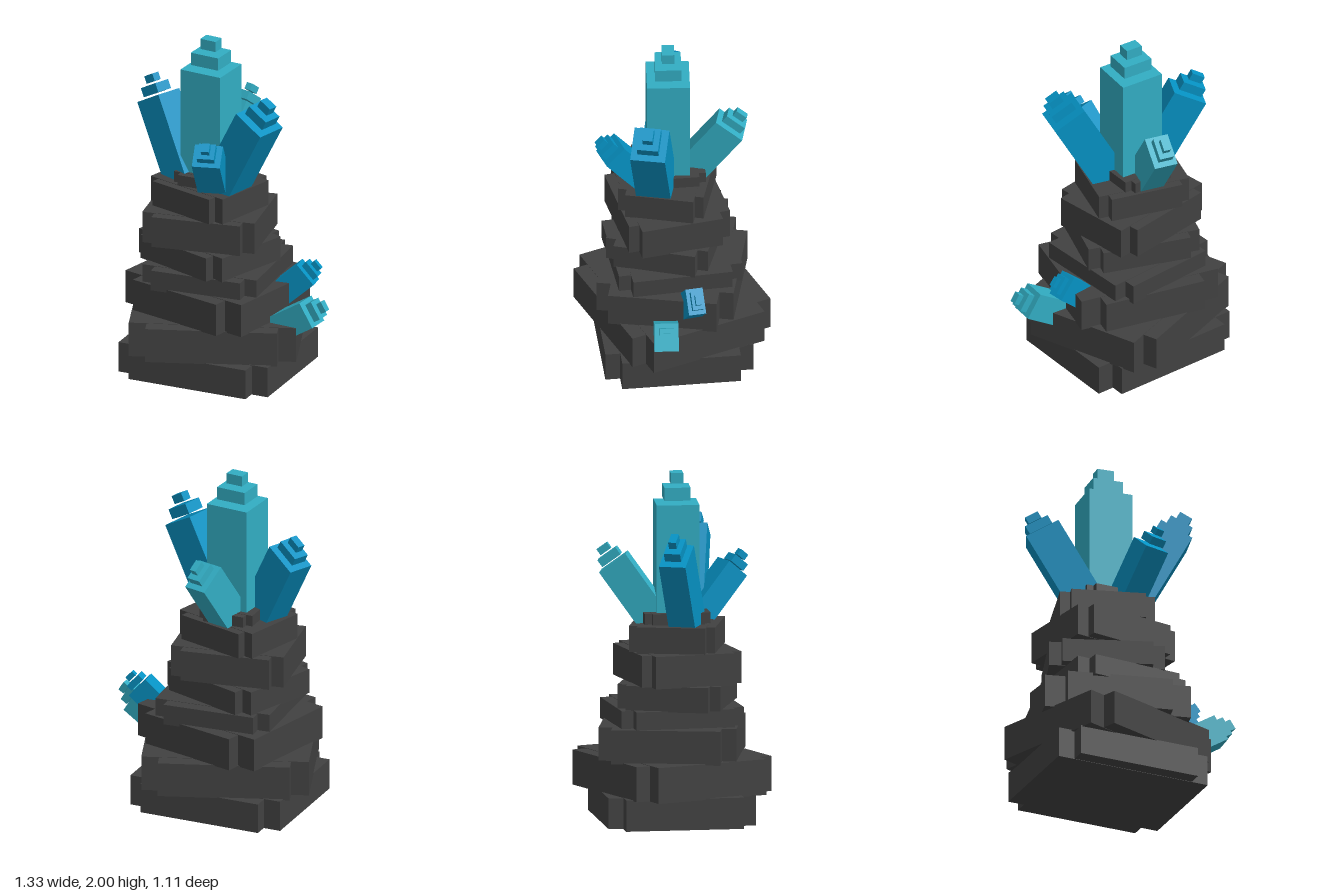
import * as THREE from 'three';

const rock = new THREE.MeshStandardMaterial({ name: 'charcoal rock', color: 0x414141 });
const teal = new THREE.MeshStandardMaterial({ name: 'teal crystal', color: 0x32adc3 });
const blue = new THREE.MeshStandardMaterial({ name: 'blue crystal', color: 0x0592c3 });
const rad = THREE.MathUtils.degToRad;

function box(name, w, h, d, material) {
  const mesh = new THREE.Mesh(new THREE.BoxGeometry(w, h, d), material);
  mesh.name = name;
  return mesh;
}

// One rock layer: a wide slab and a deep slab crossing, so every corner is notched
function layer(name, x, z, y0, y1, turn, wide, deep) {
  const group = new THREE.Group();
  group.name = name;
  const h = y1 - y0;
  const wideSlab = box('wideSlab', wide[0], h, wide[1], rock);
  const deepSlab = box('deepSlab', deep[0], h - 0.004, deep[1], rock);
  group.add(wideSlab, deepSlab);
  group.position.set(x, y0 + h / 2, z);
  group.rotation.y = rad(turn);
  return group;
}

// A crystal placed by the centre of its shaft's top; it leans along local x after turning
function crystal(name, material, [x, y, z], turn, tilt, w, d, length) {
  const group = new THREE.Group();
  group.name = name;
  const s = (w + d) / 0.505;
  const shaft = box('shaft', w, length, d, material);
  shaft.position.y = -length / 2;
  const collar = box('collar', w * 0.69, 0.075 * s, d * 0.61, material);
  collar.position.y = 0.057 * s;
  const tip = box('tip', w * 0.385, 0.062 * s, d * 0.29, material);
  tip.position.y = 0.143 * s;
  group.add(shaft, collar, tip);
  group.position.set(x, y, z);
  group.rotation.set(0, rad(turn), -rad(tilt), 'YXZ');
  return group;
}

export function createModel() {
  const model = new THREE.Group();
  model.name = 'crystalRock';

  // Stacked rock column, bottom to top
  model.add(
    layer('baseLayer', -0.08, 0, 0, 0.18, 5, [0.935, 0.68], [0.735, 0.85]),
    layer('broadLayer', -0.0815, 0, 0.172, 0.378, 24.6, [0.957, 0.703], [0.754, 0.875]),
    layer('thirdLayer', -0.0825, 0, 0.37, 0.566, -9.2, [0.846, 0.624], [0.608, 0.787]),
    layer('neckLayer', -0.083, 0, 0.545, 0.67, 8.7, [0.695, 0.575], [0.546, 0.714]),
    layer('fifthLayer', -0.12, 0.027, 0.664, 0.81, -14.6, [0.662, 0.476], [0.521, 0.595]),
    layer('sixthLayer', -0.12, 0.027, 0.806, 0.992, 14, [0.664, 0.476], [0.523, 0.595]),
    layer('topLayer', -0.1225, 0.025, 0.988, 1.142, -11.7, [0.546, 0.394], [0.43, 0.494]),
    layer('capLayer', -0.119, 0.01, 1.13, 1.207, 5, [0.33, 0.3], [0.25, 0.38])
  );

  // Crown of crystals
  model.add(
    crystal('mainCrystal', teal, [-0.115, 1.826, 0.0225], 0, 0, 0.26, 0.245, 0.75),
    crystal('rightCrystal', blue, [-0.477, 1.57, -0.005], 160.4, 29, 0.21, 0.157, 0.53),
    crystal('leftCrystal', blue, [0.268, 1.612, 0.137], -10, 28.7, 0.205, 0.2, 0.57),
    crystal('frontCrystal', blue, [0.052, 1.425, 0.355], -70, 40, 0.143, 0.162, 0.42),
    crystal('backCrystal', teal, [-0.093, 1.483, -0.335], 80, 36, 0.186, 0.14, 0.47)
  );

  // Small crystals sprouting from the left side
  model.add(
    crystal('upperSideCrystal', blue, [0.44, 0.628, -0.12], 10.5, 48, 0.15, 0.1, 0.3),
    crystal('lowerSideCrystal', teal, [0.5625, 0.467, 0.05], 0, 58, 0.16, 0.138, 0.3)
  );

  return model;
}
